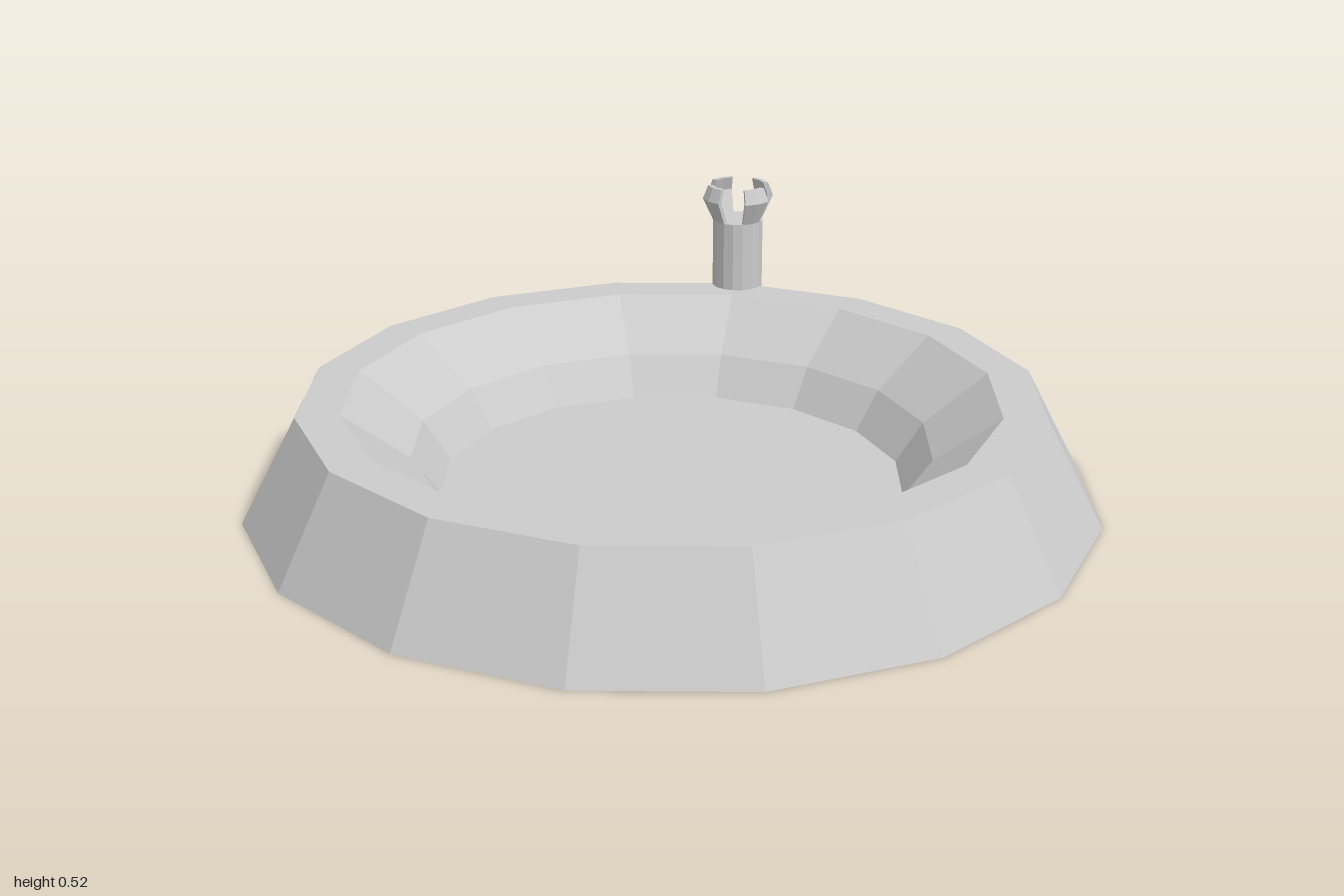
import * as THREE from 'three';

const material = new THREE.MeshStandardMaterial({ color: 0xcccccc, flatShading: true, side: THREE.DoubleSide });
const points = (list) => list.map(([r, y]) => new THREE.Vector2(r, y));

function add(parent, name, geometry) {
  const mesh = new THREE.Mesh(geometry, material);
  mesh.name = name;
  parent.add(mesh);
  return mesh;
}

export function createModel() {
  const model = new THREE.Group();
  model.name = 'basin';

  // Sixteen-sided bowl with sloped outer wall, flat rim and stepped inner slope
  const bowl = points([[0, 0], [1, 0], [0.867, 0.25], [0.765, 0.25], [0.61, 0.135], [0.545, 0.04], [0, 0.04]]);
  add(model, 'bowl', new THREE.LatheGeometry(bowl, 16));

  // Post standing on the outer edge of the rim, sunk into the wall
  const post = new THREE.Group();
  post.name = 'post';
  post.position.set(0.61, 0, -0.62);
  model.add(post);
  add(post, 'postShaft', new THREE.CylinderGeometry(0.067, 0.067, 0.38, 16)).position.y = 0.24;

  // Four bent prongs forming an open crown
  const profile = points([[0.054, 0.43], [0.067, 0.43], [0.095, 0.49], [0.081, 0.525], [0.068, 0.525], [0.08, 0.49]]);
  const span = Math.PI / 4;
  for (let i = 0; i < 4; i++) {
    const prong = new THREE.Group();
    prong.name = 'prong';
    prong.rotation.y = i * Math.PI / 2;
    post.add(prong);
    add(prong, 'prongShell', new THREE.LatheGeometry([...profile, profile[0]], 2, -span / 2, span));
    for (const phi of [-span / 2, span / 2]) {
      add(prong, 'prongEnd', new THREE.ShapeGeometry(new THREE.Shape(profile))).rotation.y = phi - Math.PI / 2;
    }
  }
  return model;
}
